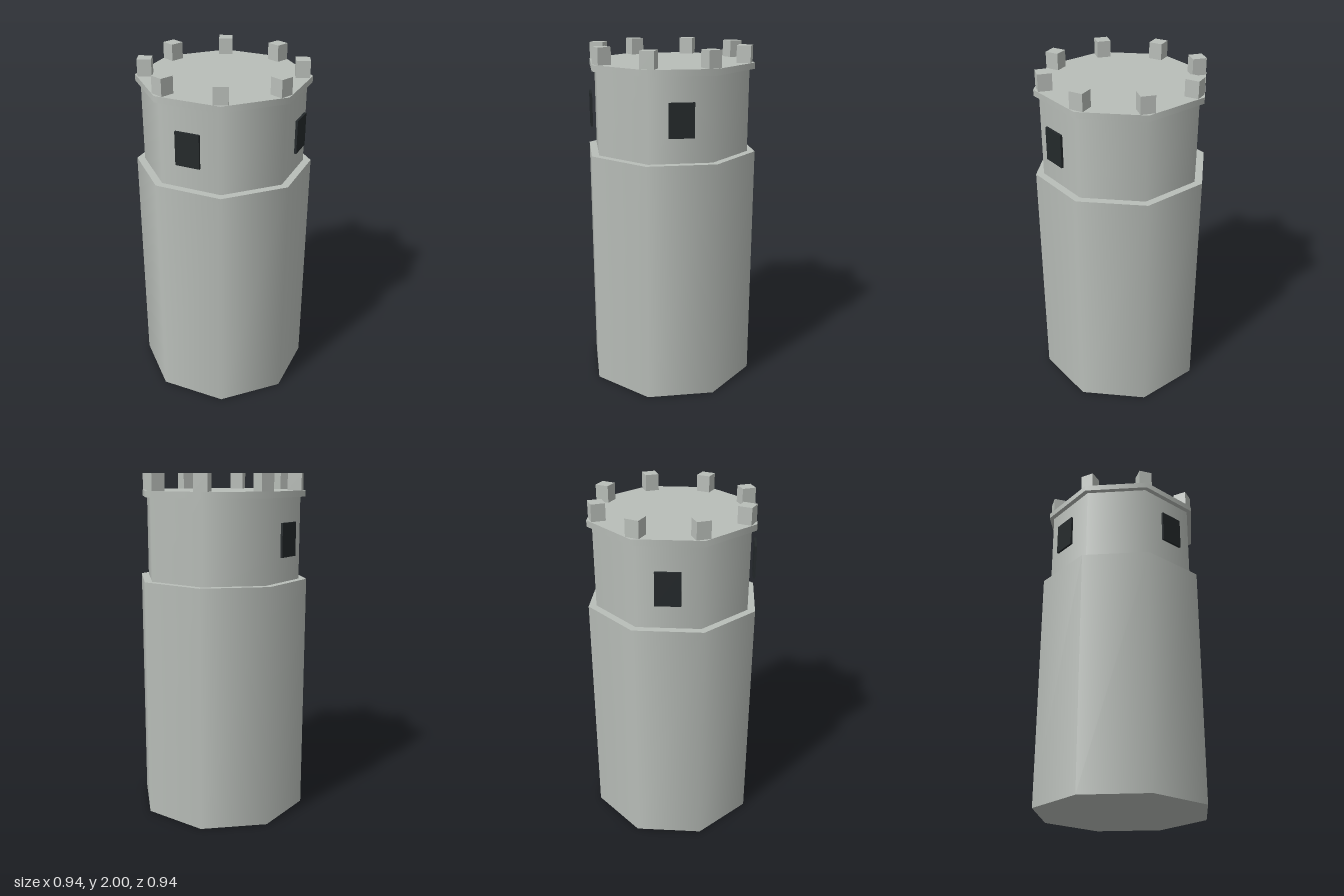
import * as THREE from 'three';

const stone = new THREE.MeshStandardMaterial({ color: 0xb9beb9 });
const dark = new THREE.MeshStandardMaterial({ color: 0x24292b });

export function createModel() {
  const tower = new THREE.Group();
  tower.name = 'tower';

  const add = (name, geometry, material, parent = tower) => {
    const mesh = new THREE.Mesh(geometry, material);
    mesh.name = name;
    parent.add(mesh);
    return mesh;
  };

  // Eight-sided drum with a flat side to the front and smooth-shaded walls
  const drum = (name, apothem, bottom, top) => {
    const radius = apothem / Math.cos(Math.PI / 8);
    const geometry = new THREE.CylinderGeometry(radius, radius, top - bottom, 8);
    geometry.rotateY(Math.PI / 8).translate(0, (bottom + top) / 2, 0);
    add(name, geometry, stone);
  };
  drum('lowerWall', 0.468, 0, 1.4);
  drum('upperWall', 0.426, 1.4, 1.87);
  drum('parapetRim', 0.453, 1.87, 1.905);

  // Battlement blocks, one at each corner of the rim
  const battlements = new THREE.Group();
  battlements.name = 'battlements';
  tower.add(battlements);
  const block = new THREE.BoxGeometry(0.079, 0.095, 0.079);
  for (let i = 0; i < 8; i++) {
    const angle = (i + 0.5) * Math.PI / 4;
    const merlon = add('merlon', block, stone, battlements);
    merlon.position.set(Math.sin(angle) * 0.432, 1.9525, Math.cos(angle) * 0.432);
    merlon.rotation.y = angle;
  }

  // Dark window panels on the front and both sides, standing off the wall
  const panel = new THREE.BoxGeometry(0.14, 0.19, 0.013);
  const windows = { rightWindow: -1, frontWindow: 0, leftWindow: 1 };
  for (const [name, turn] of Object.entries(windows)) {
    const angle = turn * Math.PI / 2;
    const pane = add(name, panel, dark);
    pane.position.set(Math.sin(angle) * 0.458, 1.64, Math.cos(angle) * 0.458);
    pane.rotation.y = angle;
  }

  return tower;
}
